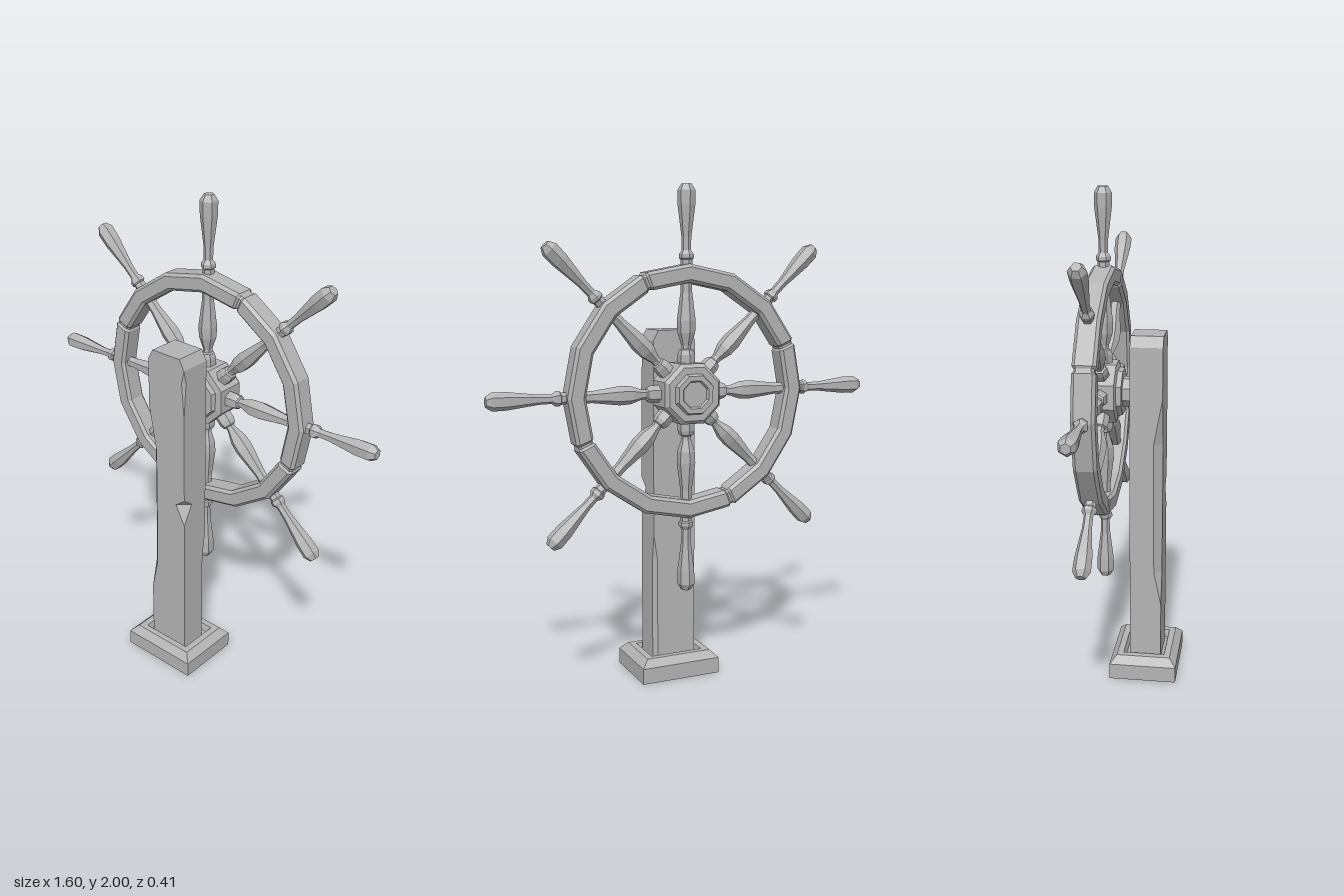
import * as THREE from 'three';

const stone = new THREE.MeshStandardMaterial({ color: 0xb4b4b4 });
stone.name = 'grey';

// Faceted mesh with one normal per face
function facetedMesh(geometry, name) {
  const flat = geometry.index ? geometry.toNonIndexed() : geometry;
  flat.computeVertexNormals();
  const mesh = new THREE.Mesh(flat, stone);
  mesh.name = name;
  return mesh;
}

// Skin over a row of loops, each an array of [x, y, z]
function loft(loops, closed = false) {
  const pos = [];
  const tri = (a, b, c) => pos.push(...a, ...b, ...c);
  const n = loops[0].length;
  const rows = closed ? loops.length : loops.length - 1;
  for (let i = 0; i < rows; i++) {
    const lo = loops[i], hi = loops[(i + 1) % loops.length];
    for (let j = 0; j < n; j++) {
      const k = (j + 1) % n;
      tri(lo[j], lo[k], hi[k]);
      tri(lo[j], hi[k], hi[j]);
    }
  }
  if (!closed) {
    const first = loops[0], last = loops[loops.length - 1];
    for (let j = 1; j < n - 1; j++) {
      tri(first[0], first[j + 1], first[j]);
      tri(last[0], last[j], last[j + 1]);
    }
  }
  const g = new THREE.BufferGeometry();
  g.setAttribute('position', new THREE.Float32BufferAttribute(pos, 3));
  return g;
}

// Rectangle with cut corners; cuts are front-left, front-right, back-right, back-left
// as seen from the front, listed as +x+z, +x-z, -x-z, -x+z
function cutRect(hx, hz, [a, b, c, d]) {
  return [
    [hx - a, hz], [hx, hz - a], [hx, -hz + b], [hx - b, -hz],
    [-hx + c, -hz], [-hx, -hz + c], [-hx, hz - d], [-hx + d, hz],
  ];
}

function createBase() {
  const levels = [ // y, half width, half depth
    [0, 0.17, 0.1375], [0.065, 0.17, 0.1375], [0.095, 0.14, 0.11],
    [0.095, 0.112, 0.085], [0.065, 0.105, 0.078],
  ];
  const loops = levels.map(([y, hx, hz]) =>
    [[hx, hz], [hx, -hz], [-hx, -hz], [-hx, hz]].map(([x, z]) => [x, y, z + 0.0675]));
  return facetedMesh(loft(loops), 'base');
}

// Square post with worn edges and one notch
function createPost() {
  const levels = [ // y, half width, corner cuts
    [0.05, 0.091, [0, 0.016, 0, 0]],
    [0.31, 0.091, [0, 0.016, 0, 0]],
    [0.45, 0.091, [0, 0.016, 0, 0.03]],
    [0.5, 0.091, [0, 0.015, 0, 0.031]],
    [0.6, 0.091, [0, 0, 0, 0.032]],
    [0.7, 0.091, [0, 0, 0, 0.033]],
    [0.785, 0.091, [0.045, 0, 0, 0.033]],
    [0.82, 0.091, [0, 0, 0, 0.034]],
    [1.0, 0.091, [0, 0, 0, 0.035]],
    [1.19, 0.091, [0, 0, 0, 0]],
    [1.34, 0.091, [0.012, 0, 0, 0]],
    [1.393, 0.091, [0, 0, 0, 0]],
    [1.435, 0.068, [0, 0, 0, 0]],
  ];
  const loops = levels.map(([y, hx, cuts]) =>
    cutRect(hx, 0.065, cuts).map(([x, z]) => [x, y, z + 0.07]));
  return facetedMesh(loft(loops), 'post');
}

// Sixteen-sided rim made of four segments with grooved joints
function createRim() {
  const step = 22.5, loops = [];
  const addLoop = (deg, scale) => {
    const t = THREE.MathUtils.degToRad(deg), c = 0.012 * scale;
    loops.push(cutRect(0.036 * scale, 0.045 * scale, [c, c, c, c]).map(([dr, z]) => {
      const r = 0.463 + dr;
      return [r * Math.cos(t), r * Math.sin(t), z];
    }));
  };
  for (let i = 0; i < 16; i++) {
    const deg = 67.5 + i * step;
    if (i % 4) addLoop(deg, 1);
    else for (const [d, s] of [[-1.6, 1], [-0.6, 0.84], [0.6, 0.84], [1.6, 1]]) addLoop(deg + d, s);
  }
  return facetedMesh(loft(loops, true), 'rim');
}

// Turned solid from [radius, distance] pairs
function turned(profile, sides, start) {
  return new THREE.LatheGeometry(profile.map(([r, d]) => new THREE.Vector2(r, d)), sides, start);
}

const spokeProfile = [
  [0.034, 0.08], [0.034, 0.15], [0.028, 0.168], [0.019, 0.172], [0.019, 0.185],
  [0.035, 0.235], [0.037, 0.28], [0.023, 0.39], [0.023, 0.515], [0.029, 0.52],
  [0.029, 0.535], [0.018, 0.55], [0.019, 0.6], [0.034, 0.72], [0.035, 0.775],
  [0.02, 0.8], [0, 0.8],
];

function createWheel() {
  const wheel = new THREE.Group();
  wheel.name = 'wheel';
  wheel.position.set(0, 1.195, -0.11);
  wheel.add(createRim());

  // Eight turned spokes with handles
  for (let i = 0; i < 8; i++) {
    const spoke = facetedMesh(turned(spokeProfile, 6, i % 4 === 2 ? Math.PI / 6 : 0), 'spoke');
    spoke.rotation.z = i * Math.PI / 4;
    wheel.add(spoke);
  }

  // Stepped hub, turned along the wheel axis
  const hub = turned([
    [0, -0.08], [0.095, -0.08], [0.1, -0.06], [0.127, -0.055], [0.127, 0.06],
    [0.112, 0.076], [0.085, 0.076], [0.078, 0.095], [0.058, 0.095], [0.052, 0.085], [0, 0.085],
  ], 8, Math.PI / 8).rotateX(-Math.PI / 2);
  wheel.add(facetedMesh(hub, 'hub'));

  // Axle reaching into the post
  const axle = new THREE.CylinderGeometry(0.062, 0.062, 0.08, 8, 1, false, Math.PI / 8);
  axle.rotateX(Math.PI / 2).translate(0, 0, 0.1);
  wheel.add(facetedMesh(axle, 'axle'));
  return wheel;
}

export function createModel() {
  const model = new THREE.Group();
  model.name = 'steeringWheelStand';
  model.add(createBase(), createPost(), createWheel());
  return model;
}
